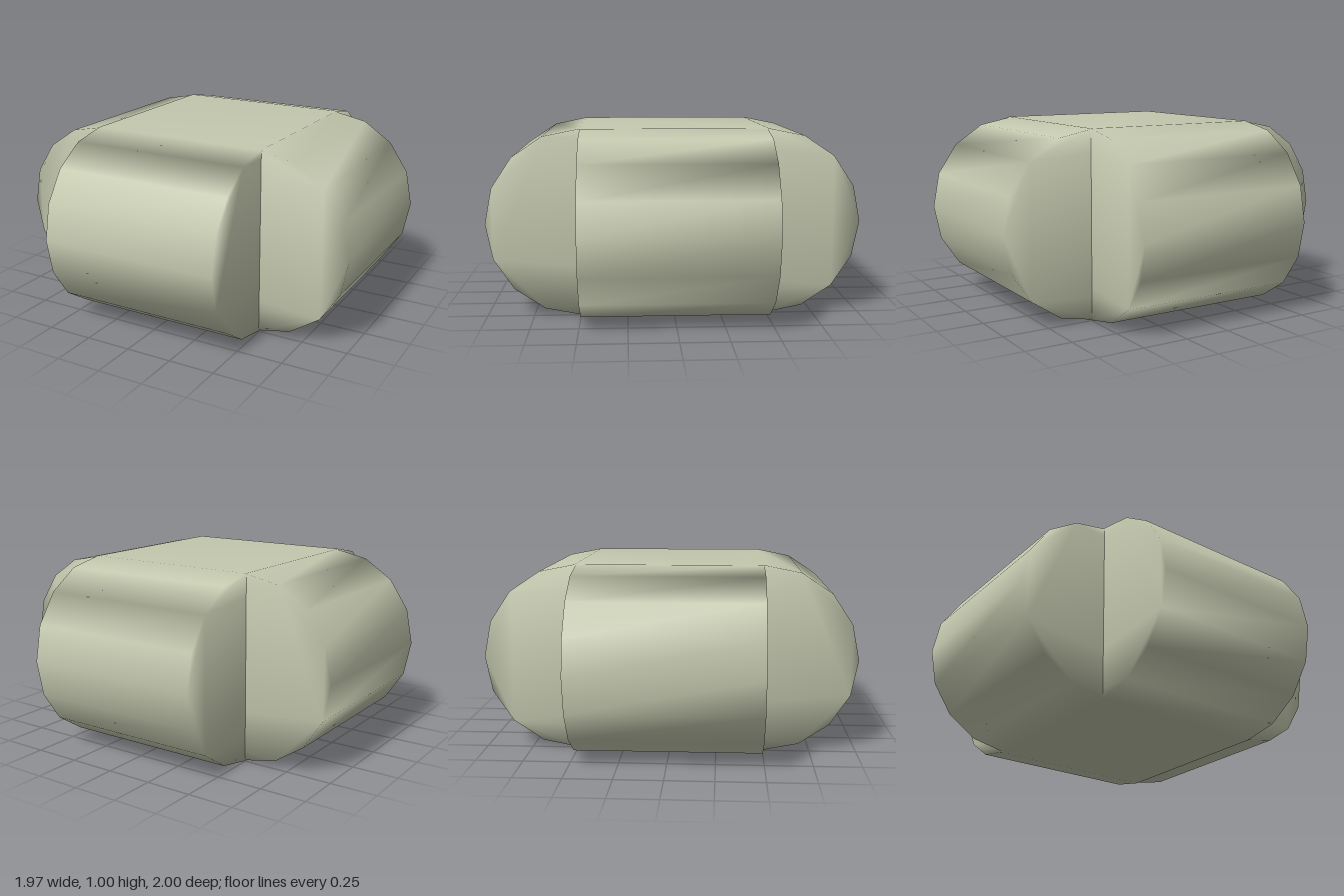
import * as THREE from 'three';
import { mergeVertices } from 'three/addons/utils/BufferGeometryUtils.js';

const material = new THREE.MeshStandardMaterial({ color: 0xc4c8ae });

// Solid bar with a stadium outline: flat top and bottom, eight-sided half-round ends
function roundEndedBar(name, halfLength, height, width) {
  const r = height / 2;
  const centre = halfLength - r;
  const points = [];
  for (const side of [1, -1]) {
    for (let i = 0; i <= 8; i++) {
      const a = -Math.PI / 2 + (i * Math.PI) / 8;
      points.push(new THREE.Vector2(side * (centre + r * Math.cos(a)), side * r * Math.sin(a)));
    }
  }
  let geometry = new THREE.ExtrudeGeometry(new THREE.Shape(points), { depth: width, bevelEnabled: false });
  geometry.translate(0, 0, -width / 2);
  // weld so the normals run smoothly over the edges
  geometry.deleteAttribute('normal');
  geometry.deleteAttribute('uv');
  geometry = mergeVertices(geometry, 1e-4);
  geometry.computeVertexNormals();
  const mesh = new THREE.Mesh(geometry, material);
  mesh.name = name;
  mesh.position.y = 0.5;
  return mesh;
}

export function createModel() {
  const group = new THREE.Group();
  group.name = 'crossedRoundedBlock';

  // bar running left to right
  group.add(roundEndedBar('sideToSideBar', 0.985, 0.996, 0.99));

  // bar running front to back
  const lengthwise = roundEndedBar('frontToBackBar', 1, 1, 0.99);
  lengthwise.rotation.y = Math.PI / 2;
  group.add(lengthwise);

  return group;
}
